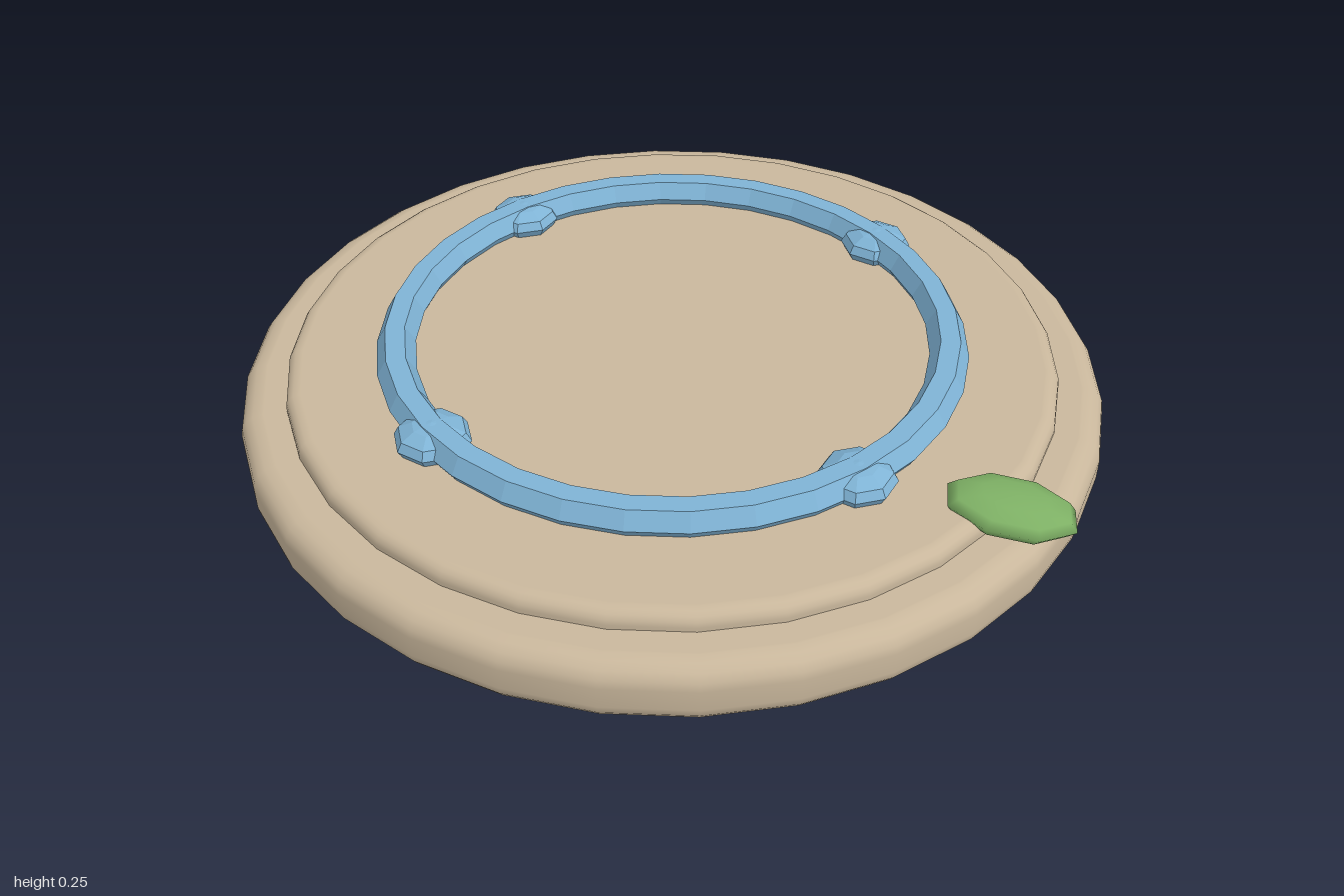
import * as THREE from 'three';

const paint = (name, color) => {
  const m = new THREE.MeshStandardMaterial({ color });
  m.name = name;
  return m;
};

// Disc with quarter-round edges, turned around the y axis
function roundedDisc(radius, y0, y1, bevel) {
  const pts = [new THREE.Vector2(0, y0), new THREE.Vector2(radius - bevel - 0.005, y0)];
  const arc = (cy, start) => {
    for (let i = 0; i <= 4; i++) {
      const a = start + (i / 4) * Math.PI / 2;
      pts.push(new THREE.Vector2(radius - bevel + Math.cos(a) * bevel, cy + Math.sin(a) * bevel));
    }
  };
  arc(y0 + bevel, -Math.PI / 2);
  arc(y1 - bevel, 0);
  pts.push(new THREE.Vector2(radius - bevel - 0.005, y1), new THREE.Vector2(0, y1));
  return new THREE.LatheGeometry(pts, 32);
}

export function createModel() {
  const group = new THREE.Group();
  const stone = paint('sandstone', 0xc9b79c);
  const blue = paint('skyBlue', 0x7fb3d5);
  const green = paint('leafGreen', 0x7daf64);

  const add = (name, geometry, material) => {
    const mesh = new THREE.Mesh(geometry, material);
    mesh.name = name;
    group.add(mesh);
    return mesh;
  };

  // Two stacked stone discs
  add('baseDisc', roundedDisc(1, 0, 0.15, 0.05), stone);
  add('upperDisc', roundedDisc(0.893, 0.1, 0.19, 0.03), stone);

  // Faceted ring with a six-sided section
  const ring = new THREE.TorusGeometry(0.64, 0.045, 6, 32).rotateX(Math.PI / 2).toNonIndexed();
  ring.computeVertexNormals();
  add('ring', ring, blue).position.y = 0.21;

  // Four flattened beads on the ring's diagonals
  const bead = new THREE.SphereGeometry(0.086, 8, 6).scale(1, 0.47, 1).toNonIndexed();
  bead.computeVertexNormals();
  for (let i = 0; i < 4; i++) {
    const a = Math.PI / 4 + i * Math.PI / 2;
    add('bead', bead, blue).position.set(Math.cos(a) * 0.64, 0.21, Math.sin(a) * 0.64);
  }

  // Small leaf draped over the edge of the upper disc
  const leafShape = new THREE.SphereGeometry(1, 8, 6).rotateY(Math.PI / 8).scale(0.146, 0.04, 0.092);
  const leaf = add('leaf', leafShape, green);
  leaf.position.set(0.772, 0.18, 0.47);
  leaf.rotation.z = -0.15;

  return group;
}
